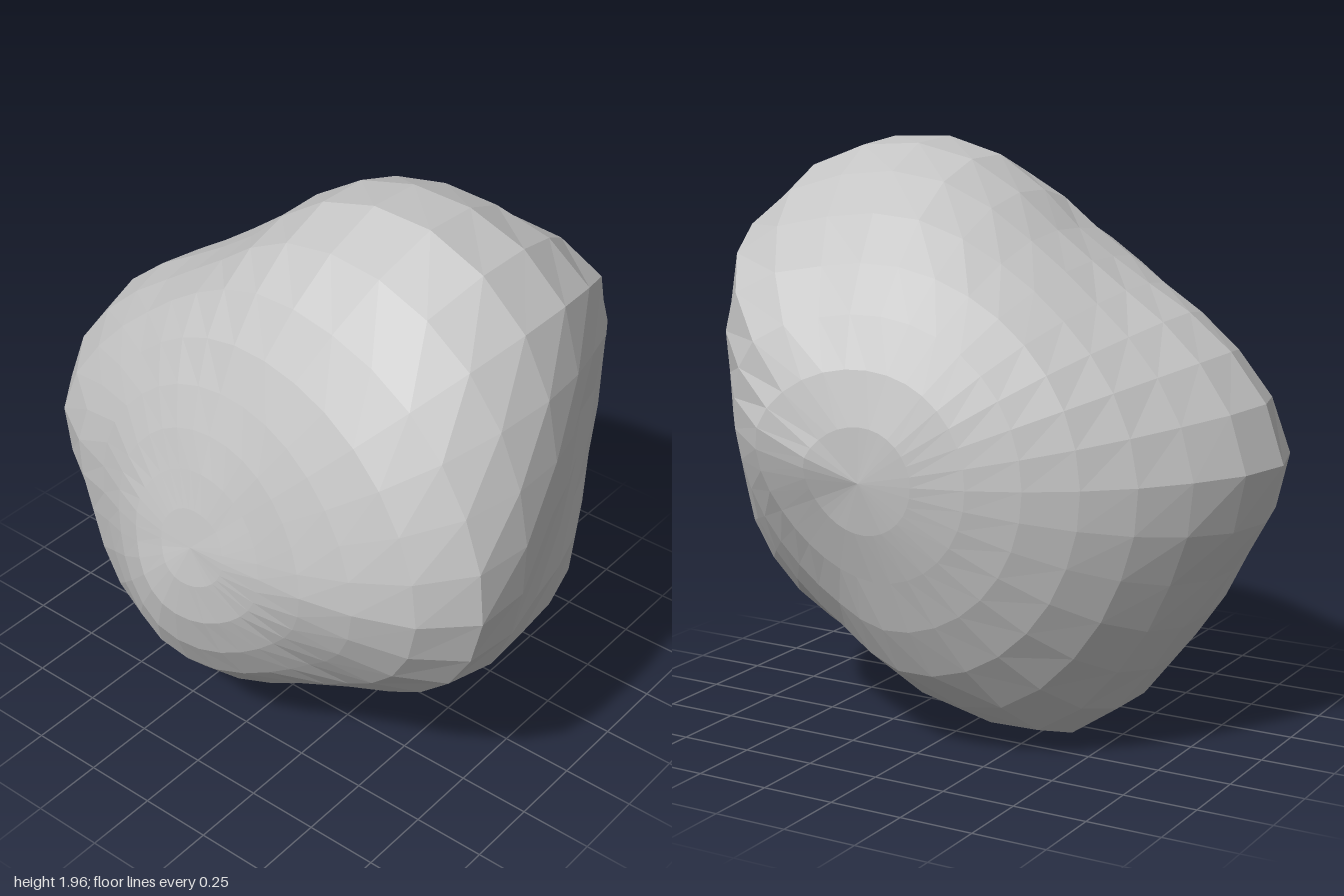
import * as THREE from 'three';

const CENTRE = new THREE.Vector3(0.04, 0.96, 0.12);

// Distance from the centre to the surface. Each row is a ring 22.5 degrees further
// from the front tip; its values run anticlockwise from +x in steps of 22.5 degrees.
const FRONT_TIP = 0.66;
const BACK_TIP = 0.89;
const RINGS = [
  [0.7, 0.68, 0.66, 0.65, 0.645, 0.64, 0.645, 0.66, 0.68, 0.7, 0.73, 0.745, 0.735, 0.715, 0.7, 0.7],
  [0.85, 0.82, 0.775, 0.725, 0.7, 0.69, 0.69, 0.71, 0.73, 0.755, 0.8, 0.83, 0.8, 0.75, 0.74, 0.8],
  [1.01, 1, 0.96, 0.885, 0.835, 0.77, 0.76, 0.83, 0.93, 0.91, 0.935, 0.91, 0.835, 0.77, 0.82, 0.93],
  [0.88, 0.985, 1.09, 1.08, 0.95, 0.78, 0.785, 0.92, 1.04, 0.95, 0.965, 1.03, 0.88, 0.745, 0.81, 0.89],
  [0.845, 0.9, 1.1, 1.05, 0.96, 0.83, 0.8, 0.88, 0.97, 0.96, 0.99, 1.035, 0.92, 0.81, 0.87, 0.9],
  [0.9, 0.965, 1.08, 0.97, 0.91, 0.86, 0.85, 0.88, 0.91, 0.92, 0.94, 0.955, 0.94, 0.87, 0.86, 0.88],
  [0.96, 1, 0.98, 0.94, 0.9, 0.88, 0.875, 0.875, 0.88, 0.88, 0.88, 0.88, 0.875, 0.87, 0.88, 0.91],
];
const STEP = Math.PI / 8;

// Value on the grid; past a tip it continues on the opposite side
function gridValue(row, column) {
  if (row < 0) return gridValue(-row, column + 8);
  if (row > 8) return gridValue(16 - row, column + 8);
  if (row === 0) return FRONT_TIP;
  if (row === 8) return BACK_TIP;
  return RINGS[row - 1][(column + 32) % 16];
}

// Smooth curve through the four values around t
function smooth(valueAt, t) {
  const i = Math.floor(t);
  const f = t - i;
  const [a, b, c, d] = [-1, 0, 1, 2].map((k) => valueAt(i + k));
  return b + 0.5 * f * (c - a + f * (2 * a - 5 * b + 4 * c - d + f * (3 * (b - c) + d - a)));
}

function surfaceRadius(direction) {
  const row = Math.acos(THREE.MathUtils.clamp(direction.z, -1, 1)) / STEP;
  const column = Math.atan2(direction.y, direction.x) / STEP;
  return smooth((r) => smooth((c) => gridValue(r, c), column), row);
}

// Sphere with its tips at front and back, pushed in and out to the boulder's surface
function boulderGeometry() {
  const geometry = new THREE.SphereGeometry(1, 32, 16).rotateX(Math.PI / 2);
  const position = geometry.attributes.position;
  const p = new THREE.Vector3();
  for (let i = 0; i < position.count; i++) {
    p.fromBufferAttribute(position, i).normalize();
    p.multiplyScalar(surfaceRadius(p)).add(CENTRE);
    position.setXYZ(i, p.x, p.y, p.z);
  }
  geometry.computeVertexNormals();
  return geometry;
}

export function createModel() {
  const group = new THREE.Group();
  group.name = 'rock';
  const stone = new THREE.MeshStandardMaterial({ color: 0xc4c4c4, flatShading: true });
  stone.name = 'pale grey stone';
  const boulder = new THREE.Mesh(boulderGeometry(), stone);
  boulder.name = 'boulder';
  group.add(boulder);
  return group;
}
